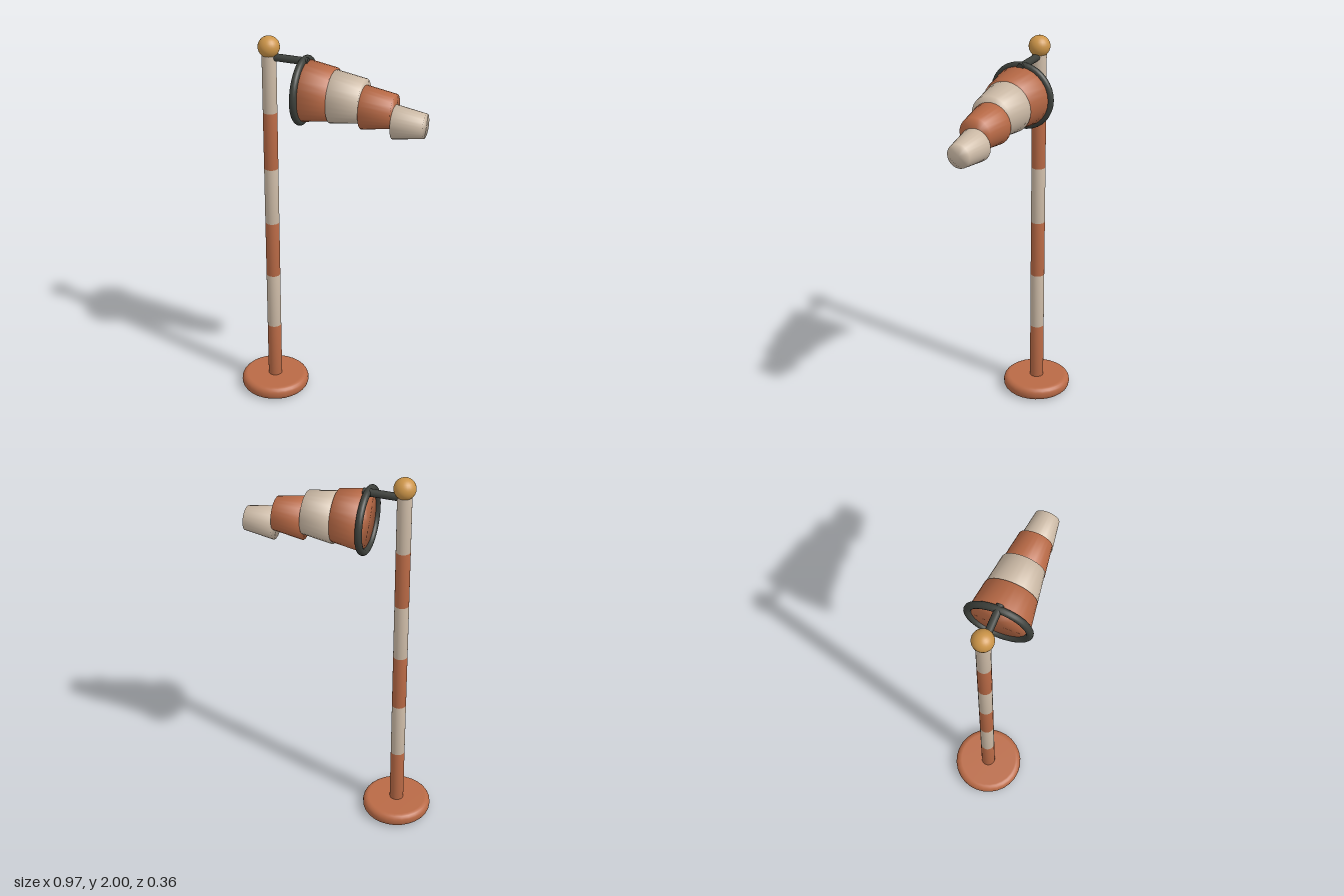
import * as THREE from 'three';
import { mergeVertices } from 'three/addons/utils/BufferGeometryUtils.js';

const material = (name, color) => {
  const m = new THREE.MeshStandardMaterial({ color });
  m.name = name;
  return m;
};

// Closed cylinder or cone whose normals blend softly over the rims
function softCylinder(rTop, rBottom, height, sides = 24) {
  const g = new THREE.CylinderGeometry(rTop, rBottom, height, sides);
  g.deleteAttribute('normal');
  g.deleteAttribute('uv');
  const merged = mergeVertices(g, 1e-4);
  merged.computeVertexNormals();
  return merged;
}

export function createModel() {
  const model = new THREE.Group();
  model.name = 'windsock';

  const orange = material('faded orange', 0xb96a46);
  const cream = material('cream', 0xcdbba7);
  const iron = material('dark iron', 0x3c3f3a);
  const gold = material('gold', 0xcb9448);

  const add = (name, geometry, mat, x, y, z = 0) => {
    const mesh = new THREE.Mesh(geometry, mat);
    mesh.name = name;
    mesh.position.set(x, y, z);
    model.add(mesh);
    return mesh;
  };

  const poleX = -0.307;

  // Round foot with a rolled edge
  const footRadius = 0.178, footHeight = 0.07, roll = 0.03;
  const profile = [new THREE.Vector2(0, 0)];
  for (let i = 0; i <= 5; i++) {
    const a = -Math.PI / 2 + (i / 5) * Math.PI / 2;
    profile.push(new THREE.Vector2(footRadius - roll + roll * Math.cos(a), roll + roll * Math.sin(a)));
  }
  for (let i = 0; i <= 5; i++) {
    const a = (i / 5) * Math.PI / 2;
    profile.push(new THREE.Vector2(footRadius - roll + roll * Math.cos(a), footHeight - roll + roll * Math.sin(a)));
  }
  profile.push(new THREE.Vector2(0, footHeight));
  add('foot', new THREE.LatheGeometry(profile, 28), orange, poleX, 0);

  // Striped pole
  const bandHeight = 0.307;
  for (let i = 0; i < 6; i++) {
    add(`poleBand${i + 1}`, softCylinder(0.036, 0.036, bandHeight), i % 2 ? cream : orange,
      poleX, footHeight + bandHeight * (i + 0.5));
  }

  // Ball on the pole top
  add('finial', new THREE.SphereGeometry(0.054, 24, 16), gold, poleX, 1.946);

  // Arm and mouth ring
  const arm = add('arm', new THREE.CylinderGeometry(0.019, 0.019, 0.202, 12), iron, poleX + 0.101, 1.896);
  arm.rotation.z = -Math.PI / 2;
  const ringX = -0.129, ringY = 1.745;
  const ring = add('mouthRing', new THREE.TorusGeometry(0.154, 0.018, 12, 36), iron, ringX, ringY);
  ring.rotation.y = Math.PI / 2;

  // Sock sections, tapering and sagging away from the ring
  const length = 0.1535, mouth = 0.154, taper = 0.0233;
  for (let i = 0; i < 4; i++) {
    const section = add(`sockSection${i + 1}`,
      softCylinder(mouth - taper * (i + 1), mouth - taper * i, length, 28),
      i % 2 ? cream : orange,
      ringX + length * (i + 0.5), ringY - 0.0108 * i * i);
    section.rotation.z = -Math.PI / 2;
  }

  return model;
}
